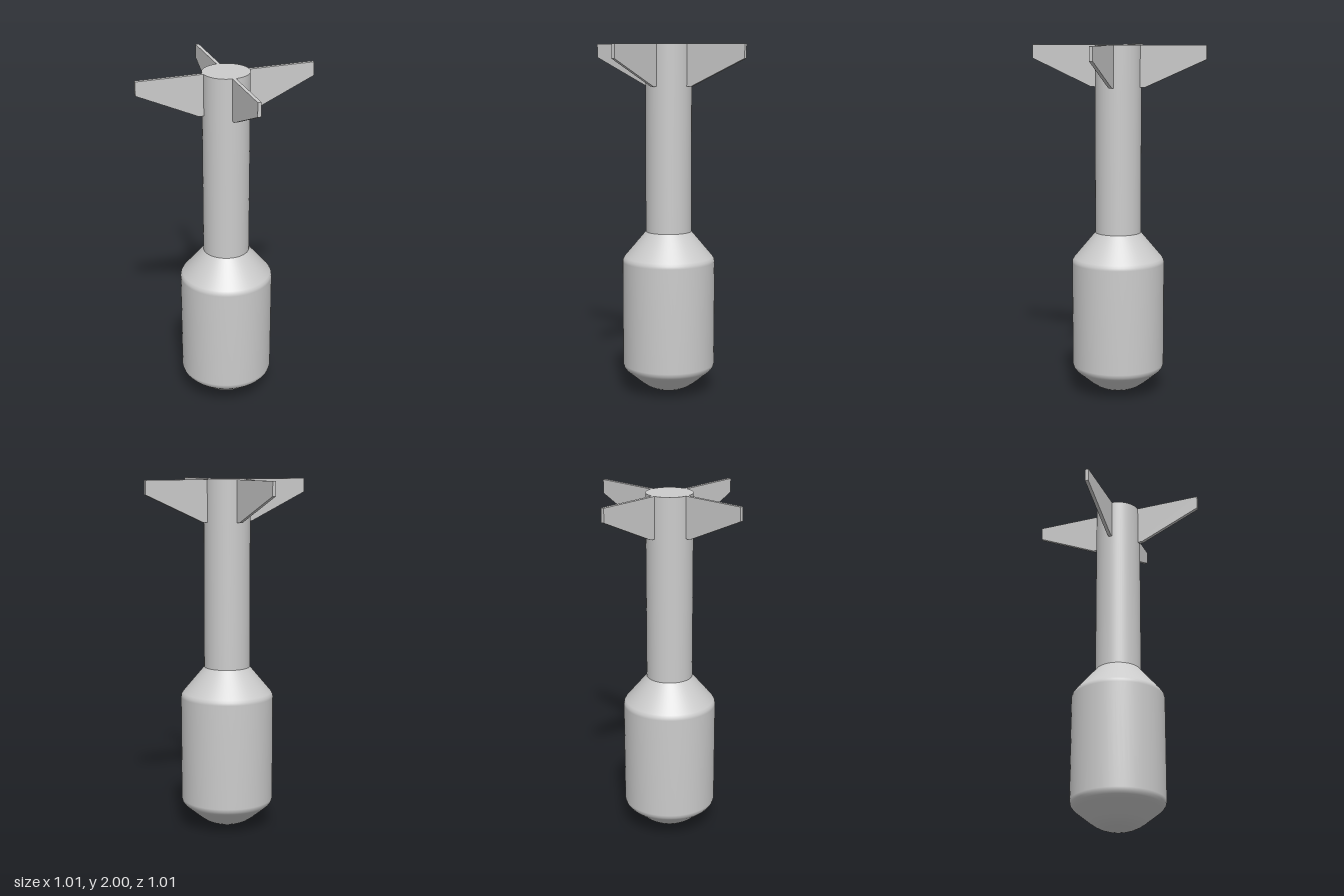
import * as THREE from 'three';

export function createModel() {
  const model = new THREE.Group();
  const material = new THREE.MeshStandardMaterial({ color: 0xcccccc });

  const add = (name, geometry) => {
    const mesh = new THREE.Mesh(geometry, material);
    mesh.name = name;
    model.add(mesh);
    return mesh;
  };

  // Thick body: domed nose, straight wall and tapered shoulder with softened corners
  const profile = [
    [0, 0], [0.035, 0.002], [0.07, 0.009], [0.1, 0.019], [0.13, 0.034], [0.16, 0.055],
    [0.235, 0.116], [0.25, 0.13], [0.26, 0.144], [0.265, 0.163],
    [0.265, 0.763], [0.262, 0.778], [0.254, 0.792], [0.131, 0.938],
  ].map(([r, y]) => new THREE.Vector2(r, y));
  add('body', new THREE.LatheGeometry(profile, 64));

  // Tail tube, closed at the top
  const tube = new THREE.CylinderGeometry(0.131, 0.131, 1.062, 64);
  add('tailTube', tube).position.y = 1.469;

  // Four swept fins around the end of the tube
  const outline = new THREE.Shape([
    [0.125, 1.765], [0.157, 1.765], [0.505, 1.922], [0.505, 2], [0.125, 2],
  ].map(([x, y]) => new THREE.Vector2(x, y)));
  const thickness = 0.02;
  const fin = new THREE.ExtrudeGeometry(outline, { depth: thickness, bevelEnabled: false });
  fin.translate(0, 0, -thickness / 2);
  ['leftFin', 'backFin', 'rightFin', 'frontFin'].forEach((name, i) => {
    add(name, fin).rotation.y = i * Math.PI / 2;
  });

  return model;
}
